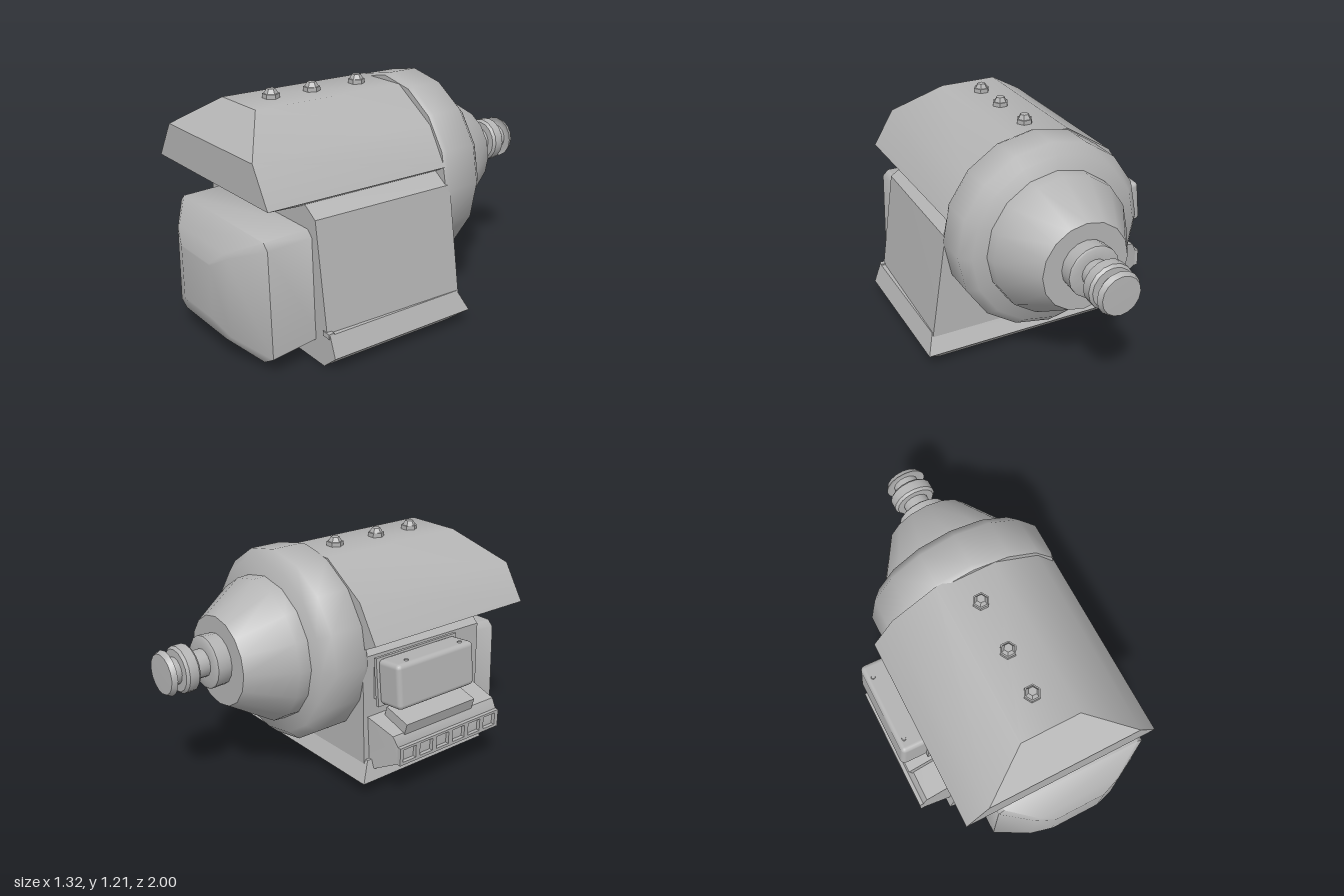
import * as THREE from 'three';
import { toCreasedNormals } from 'three/addons/utils/BufferGeometryUtils.js';
import { RoundedBoxGeometry } from 'three/addons/geometries/RoundedBoxGeometry.js';

const grey = new THREE.MeshStandardMaterial({ color: 0xb4b4b4 });
grey.name = 'grey';

function part(name, geometry, parent, x = 0, y = 0, z = 0) {
  const mesh = new THREE.Mesh(geometry, grey);
  mesh.name = name;
  mesh.position.set(x, y, z);
  parent.add(mesh);
  return mesh;
}

// Skins even-sized rings, listed from lower right counterclockwise, back to front.
function loft(rings, crease = 0.5) {
  const n = rings[0].length, last = (rings.length - 1) * n, index = [];
  const quad = (a, b, c, d) => index.push(a, b, c, a, c, d);
  for (let r = 0; r < rings.length - 1; r++) {
    for (let i = 0; i < n; i++) {
      const j = (i + 1) % n, a = r * n, b = a + n;
      quad(a + i, a + j, b + j, b + i);
    }
  }
  for (let i = 0; i < n / 2 - 1; i++) {
    const j = n - 1 - i;
    quad(last + i, last + i + 1, last + j - 1, last + j);
    quad(j, j - 1, i + 1, i);
  }
  const g = new THREE.BufferGeometry();
  g.setAttribute('position', new THREE.Float32BufferAttribute(rings.flat(2), 3));
  g.setIndex(index);
  return toCreasedNormals(g, crease);
}

// Gives a flat section one z, or a z for each point.
const at = (section, z) => section.map(([x, y], i) => [x, y, Array.isArray(z) ? z[i] : z]);

// Rectangle with cut corners, narrower at the top by the taper.
function panelRing(x0, x1, y0, y1, cut, taper, z) {
  return [
    [x1 - cut, y0, z], [x1, y0 + cut * 0.6, z], [x1 - taper, y1 - cut * 0.4, z], [x1 - taper - cut * 0.4, y1, z],
    [x0 + taper + cut * 0.4, y1, z], [x0 + taper, y1 - cut * 0.4, z], [x0, y0 + cut * 0.6, z], [x0 + cut, y0, z],
  ];
}

// Turned part along the z axis, from [radius, z] pairs.
function turned(profile, sides, crease) {
  const g = new THREE.LatheGeometry(profile.map(([r, z]) => new THREE.Vector2(r, -z)), sides);
  g.rotateX(-Math.PI / 2);
  return toCreasedNormals(g, crease);
}

export function createModel() {
  const model = new THREE.Group();
  model.name = 'machine';

  // Roof with an overhanging, bevelled front
  const roof = [[0.4, 0.75], [0.515, 0.81], [0.4, 1.0], [0.155, 1.16], [-0.155, 1.16], [-0.4, 1.0], [-0.52, 0.81], [-0.4, 0.75]];
  part('roof', loft([at(roof, -0.16), at(roof, [0.64, 0.87, 0.87, 0.7, 0.7, 0.87, 0.87, 0.64])], 0.75), model);

  // Roof bolts
  for (const z of [0.01, 0.285, 0.52]) {
    const bolt = new THREE.Group();
    bolt.name = 'roofBolt';
    bolt.position.set(0, 1.16, z);
    model.add(bolt);
    for (const [r0, r1, h, y] of [[0.043, 0.043, 0.024, 0.01], [0.022, 0.036, 0.025, 0.033]]) {
      const g = new THREE.CylinderGeometry(r0, r1, h, 6).rotateY(Math.PI / 6);
      part('boltStep', toCreasedNormals(g, 0.5), bolt, 0, y, 0);
    }
  }

  // Body, a little wider at the back
  const back = [[0.62, 0.16], [0.53, 0.72], [0.43, 0.79], [-0.38, 0.79], [-0.44, 0.73], [-0.46, 0.16]];
  const front = [[0.6, 0.16], [0.515, 0.715], [0.43, 0.77], [-0.38, 0.77], [-0.44, 0.72], [-0.455, 0.16]];
  part('body', loft([at(back, -0.17), at(front, 0.625)]), model);

  // Base
  const base = [[0.57, 0], [0.66, 0.075], [0.62, 0.18], [-0.475, 0.18], [-0.508, 0.075], [-0.41, 0]];
  part('base', loft([at(base, [-0.13, -0.21, -0.16, -0.16, -0.21, -0.13]), at(base, 0.624)]), model);
  for (const x of [0.595, -0.44]) {
    part('baseClip', new THREE.BoxGeometry(0.05, 0.025, 0.03), model, x, 0.175, 0.615);
  }

  // Bulging front hatch
  part('frontHatch', loft([
    panelRing(-0.36, 0.505, 0.07, 0.655, 0.08, 0.02, 0.6),
    panelRing(-0.36, 0.505, 0.035, 0.645, 0.08, 0.02, 0.86),
    panelRing(-0.19, 0.31, 0.12, 0.56, 0.05, 0.01, 0.965),
    panelRing(-0.08, 0.2, 0.2, 0.49, 0.02, 0, 1.0),
  ], 0.85), model);

  // Round tank, cone and nozzle at the back
  const tank = new THREE.Group();
  tank.name = 'tank';
  tank.position.set(0.04, 0.695, 0);
  model.add(tank);
  part('tankDrum', turned([[0, -0.145], [0.49, -0.145], [0.5, -0.17], [0.5, -0.345], [0.45, -0.4], [0, -0.4]], 16, 0.85), tank);
  part('tankCone', turned([[0.375, -0.38], [0.37, -0.465], [0.23, -0.69], [0, -0.69]], 16, 0.65), tank);
  part('nozzle', turned([
    [0.13, -0.68], [0.134, -0.765], [0.125, -0.772], [0.07, -0.772], [0.07, -0.845],
    [0.105, -0.847], [0.118, -0.86], [0.118, -0.91], [0.105, -0.923], [0.068, -0.925],
    [0.068, -0.975], [0.09, -0.98], [0.113, -0.972], [0.1, -0.998], [0, -1.0],
  ], 16, 0.7), tank, 0, 0.013, 0);

  // Side box with rim, mount and rivets
  const box = new THREE.Group();
  box.name = 'sideBox';
  box.position.set(-0.567, 0.616, 0.14);
  box.rotation.z = -0.1;
  model.add(box);
  part('boxShell', new RoundedBoxGeometry(0.155, 0.232, 0.51, 2, 0.025), box);
  part('boxRim', new THREE.BoxGeometry(0.018, 0.25, 0.54), box, 0.072, 0, 0);
  part('boxMount', new THREE.BoxGeometry(0.11, 0.21, 0.48), box, 0.12, 0, 0);
  for (const z of [-0.17, 0.19]) {
    part('boxRivet', new THREE.CylinderGeometry(0.01, 0.012, 0.008, 8), box, -0.04, 0.118, z);
  }

  // Exhaust bank below it
  const bank = [[-0.4, 0.13], [-0.4, 0.425], [-0.615, 0.36], [-0.64, 0.31], [-0.64, 0.215], [-0.49, 0.13]];
  part('exhaustBank', loft([at(bank, [-0.15, -0.15, -0.12, -0.11, -0.11, -0.13]), at(bank, 0.585)], 0.7), model);
  const step = part('exhaustStep', new THREE.BoxGeometry(0.155, 0.09, 0.47), model, -0.55, 0.388, 0.185);
  step.rotation.z = 0.27;

  // Row of six square outlets
  const frame = new THREE.Shape([[-0.11, 0.212], [0.585, 0.212], [0.585, 0.308], [-0.11, 0.308]].map(p => new THREE.Vector2(...p)));
  for (let i = 0; i < 6; i++) {
    const z = -0.09 + i * 0.113;
    frame.holes.push(new THREE.Path([[z, 0.228], [z, 0.295], [z + 0.085, 0.295], [z + 0.085, 0.228]].map(p => new THREE.Vector2(...p))));
  }
  const outlets = new THREE.ExtrudeGeometry(frame, { depth: 0.022, bevelEnabled: false }).rotateY(-Math.PI / 2);
  part('exhaustOutlets', outlets, model, -0.638, 0, 0);

  return model;
}
